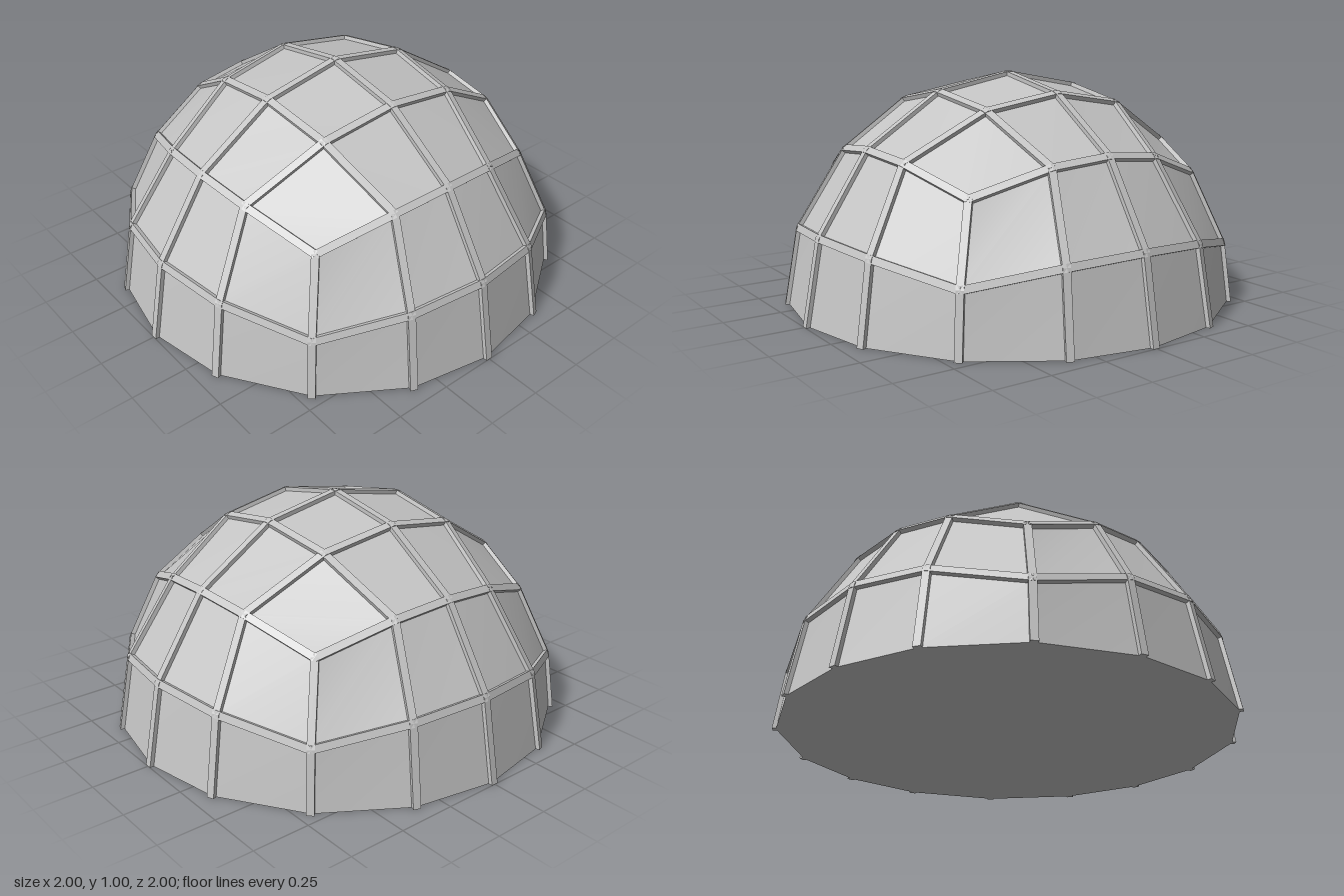
import * as THREE from 'three';
import { mergeGeometries } from 'three/addons/utils/BufferGeometryUtils.js';

const STEPS = [-1, -0.388, 0, 0.388, 1]; // grid lines on each face of the cube that is rounded into the dome
const PANEL_R = 0.985, STRUT_R = 1, STRUT_DEPTH = 0.035, STRUT_HALF = 0.016;

// Quad a-b-c-d, counter-clockwise seen from outside
function quad(a, b, c, d) {
  const g = new THREE.BufferGeometry().setFromPoints([a, b, c, d]);
  g.setIndex([0, 1, 2, 0, 2, 3]);
  g.computeVertexNormals();
  return g;
}

// Flat-topped bar between two directions on the sphere
function strut(a, b) {
  const along = b.clone().sub(a);
  const ring = (p) => {
    const side = new THREE.Vector3().crossVectors(p, along).setLength(STRUT_HALF);
    const out = p.clone().multiplyScalar(STRUT_R);
    const inn = p.clone().multiplyScalar(STRUT_R - STRUT_DEPTH);
    return [out.clone().add(side), out.clone().sub(side), inn.clone().sub(side), inn.clone().add(side)];
  };
  const A = ring(a), B = ring(b), parts = [];
  for (let i = 0; i < 4; i++) {
    const j = (i + 1) % 4;
    parts.push(quad(A[i], A[j], B[j], B[i]));
  }
  parts.push(quad(A[3], A[2], A[1], A[0]), quad(B[0], B[1], B[2], B[3]));
  return mergeGeometries(parts);
}

export function createModel() {
  const model = new THREE.Group();
  model.name = 'dome';
  const grey = new THREE.MeshStandardMaterial({ color: 0xc4c4c4 });
  grey.name = 'grey';

  const panels = [], struts = [], seen = new Set();
  const key = (p) => p.toArray().map((v) => Math.round(v * 1000) + 0).join();

  // Panels of one cube face, with a strut on every shared edge above the base
  function addFace(point, rows) {
    for (let r = rows; r < 4; r++) {
      for (let c = 0; c < 4; c++) {
        const corners = [[c, r], [c + 1, r], [c + 1, r + 1], [c, r + 1]]
          .map(([i, j]) => point(STEPS[i], STEPS[j]).normalize());
        panels.push(quad(...corners.map((p) => p.clone().multiplyScalar(PANEL_R))));
        corners.forEach((a, i) => {
          const b = corners[(i + 1) % 4];
          if (Math.abs(a.y) + Math.abs(b.y) < 0.001) return;
          const id = [key(a), key(b)].sort().join('|');
          if (seen.has(id)) return;
          seen.add(id);
          struts.push(strut(a, b));
        });
      }
    }
  }

  addFace((u, v) => new THREE.Vector3(u, 1, -v), 0); // crown
  const up = new THREE.Vector3(0, 1, 0);
  for (let k = 0; k < 4; k++) { // four sides, upper half only
    addFace((u, v) => new THREE.Vector3(u, v, 1).applyAxisAngle(up, k * Math.PI / 2), 2);
  }

  // Closed underside
  const rim = [];
  for (let k = 0; k < 4; k++) {
    for (let i = 0; i < 4; i++) {
      const p = new THREE.Vector3(STEPS[i], 0, 1).applyAxisAngle(up, k * Math.PI / 2).setLength(PANEL_R);
      rim.push(new THREE.Vector2(p.x, p.z));
    }
  }
  const base = new THREE.ShapeGeometry(new THREE.Shape(rim)).rotateX(Math.PI / 2);

  const add = (name, geometry) => {
    const mesh = new THREE.Mesh(geometry, grey);
    mesh.name = name;
    model.add(mesh);
  };
  add('panels', mergeGeometries(panels));
  add('struts', mergeGeometries(struts));
  add('base', base);
  return model;
}
